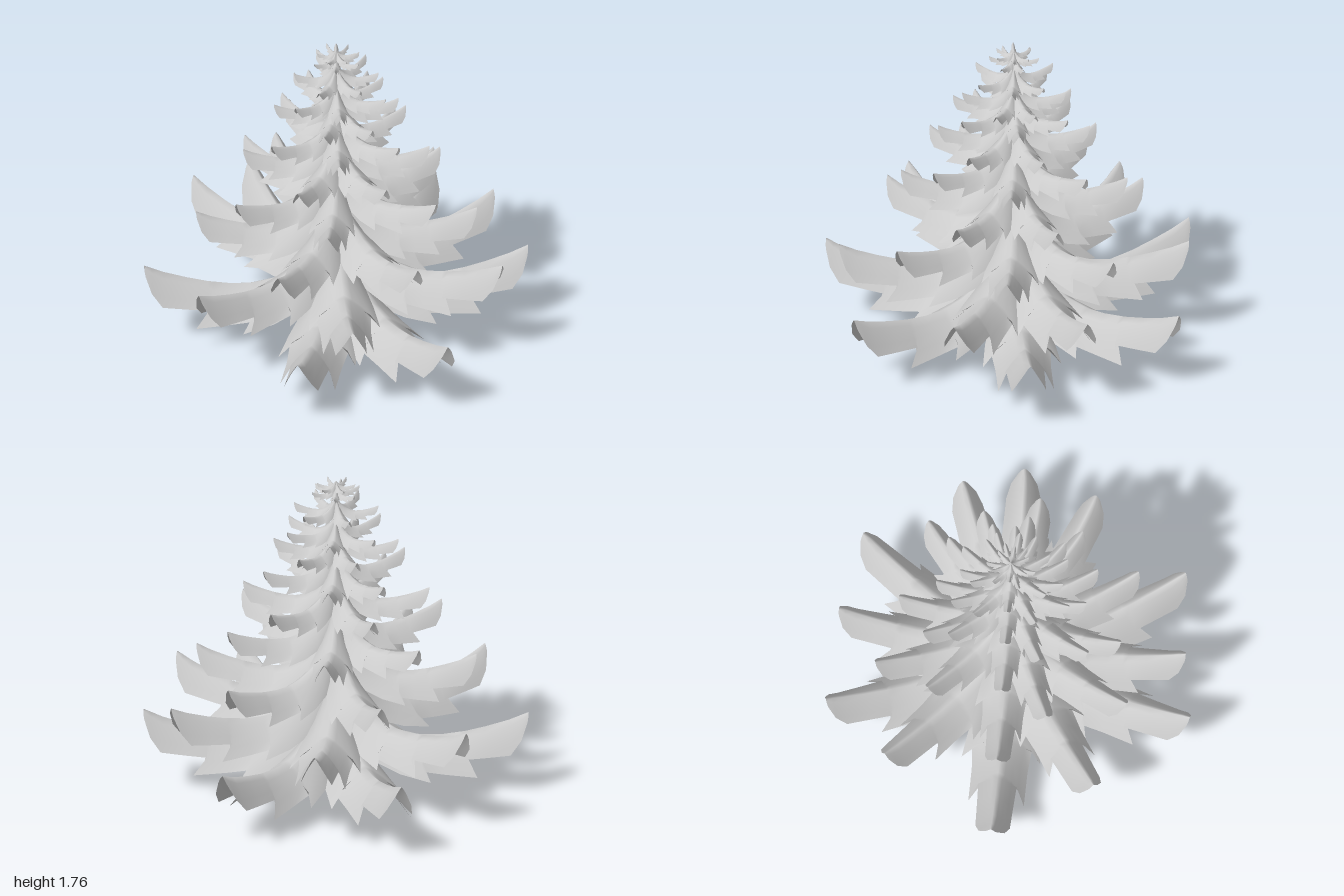
import * as THREE from 'three';

const material = new THREE.MeshStandardMaterial({ color: 0xcccccc, side: THREE.DoubleSide });

// Cross-sections of a unit-length frond: ridge distance, ridge height,
// hem distance, hem half width, hem height (heights relative to the tip)
const SECTIONS = [
  [0.00, 0.19, 0.00, 0.04, 0.02],
  [0.08, 0.08, 0.08, 0.09, -0.14],
  [0.20, -0.04, 0.20, 0.14, -0.23],
  [0.32, -0.11, 0.34, 0.18, -0.285],
  [0.42, -0.135, 0.50, 0.205, -0.32], // inner tooth
  [0.45, -0.138, 0.45, 0.155, -0.28],
  [0.55, -0.135, 0.57, 0.145, -0.30],
  [0.64, -0.12, 0.74, 0.145, -0.315], // outer tooth
  [0.67, -0.115, 0.67, 0.10, -0.235],
  [0.78, -0.085, 0.78, 0.095, -0.225],
  [0.90, -0.045, 0.91, 0.09, -0.21],
  [0.96, -0.018, 0.965, 0.068, -0.135],
  [1.00, 0.00, 0.995, 0.03, -0.05],
];

// Drooping, arched leaf along +x with toothed side edges
function frondGeometry() {
  const steps = 4, cols = steps * 2 + 1;
  const positions = [], index = [];
  SECTIONS.forEach(([ridgeX, ridgeY, hemX, halfWidth, hemY], i) => {
    for (let j = 0; j < cols; j++) {
      const side = j / steps - 1, s = Math.abs(side);
      positions.push(
        ridgeX + (hemX - ridgeX) * s ** 3,
        ridgeY + (hemY - ridgeY) * (0.65 * s + 0.35 * s * s),
        halfWidth * side,
      );
      if (i < SECTIONS.length - 1 && j < cols - 1) {
        const a = i * cols + j, b = a + cols;
        index.push(a, a + 1, b, b, a + 1, b + 1);
      }
    }
  });
  const geometry = new THREE.BufferGeometry();
  geometry.setAttribute('position', new THREE.Float32BufferAttribute(positions, 3));
  geometry.setIndex(index);
  geometry.computeVertexNormals();
  return geometry;
}

// Frond directions in degrees, seen from above; the tiers alternate
const DIRECTIONS = [
  [-149, -81, -25, 29, 90, 137],
  [-109, -54, 9, 54, 120, 177],
  [-149, -80, -11, 37, 90, 150],
  [-108, -55, 11, 64, 130, 187],
  [-149, -85, -17, 36, 93, 150],
  [-100, -55, 11, 70, 123, 183],
];

// Tip radius and tip height of every tier, from the bottom up
const TIERS = [
  [1.0, 0.45], [0.91, 0.6], [0.73, 0.78], [0.59, 0.98], [0.485, 1.16], [0.395, 1.3],
  [0.325, 1.435], [0.27, 1.51], [0.22, 1.625], [0.13, 1.715], [0.1, 1.745],
];

export function createModel() {
  const tree = new THREE.Group();
  tree.name = 'coniferTree';

  // Eight-sided tapering trunk with a bevelled foot
  const profile = [[0, 0], [0.038, 0], [0.053, 0.018], [0.05, 0.3], [0.025, 1.3], [0.008, 1.72], [0, 1.73]];
  const trunkMaterial = new THREE.MeshStandardMaterial({ color: 0xcccccc, flatShading: true });
  const trunk = new THREE.Mesh(
    new THREE.LatheGeometry(profile.map(([r, y]) => new THREE.Vector2(r, y)), 8), trunkMaterial);
  trunk.name = 'trunk';
  tree.add(trunk);

  // Tiers of fronds, smaller towards the top
  const geometry = frondGeometry();
  TIERS.forEach(([radius, height], t) => {
    const tier = new THREE.Group();
    tier.name = `branchTier${t + 1}`;
    tier.position.y = height;
    DIRECTIONS[t % DIRECTIONS.length].forEach((degrees, k) => {
      const frond = new THREE.Mesh(geometry, material);
      frond.name = `frond${k + 1}`;
      frond.rotation.y = -THREE.MathUtils.degToRad(degrees);
      frond.scale.setScalar(radius);
      tier.add(frond);
    });
    tree.add(tier);
  });

  return tree;
}
